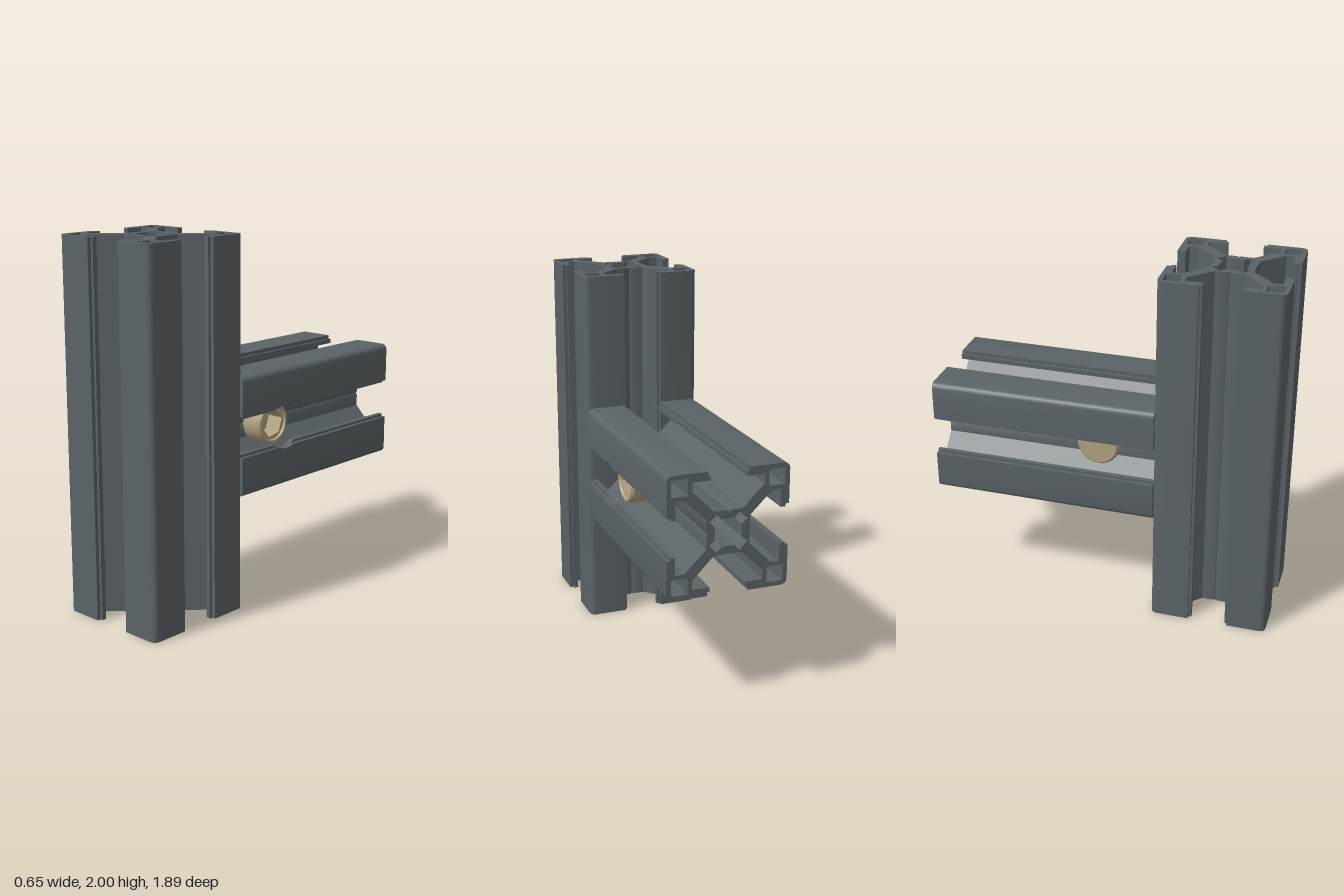
import * as THREE from 'three';
import { toCreasedNormals } from 'three/addons/utils/BufferGeometryUtils.js';

const H = 0.3235, LIP_IN = 0.278, LIP_STEP = 0.303, SLOT = 0.095, STEP = 0.11;
const TRIM = 0.13, BORE = 0.123;
const MID_Y = 0.938, POST_Z = 0.62, BEAM_BACK = -0.944, BEAM_FRONT = 0.296;
const PIN_Z = -0.055;

// Repeats a quarter outline around the four sides
function ring(quarter) {
  const out = [];
  for (let k = 0; k < 4; k++) {
    for (let [x, y] of quarter(k)) {
      for (let i = 0; i < k; i++) [x, y] = [-y, x];
      out.push(new THREE.Vector2(x, y));
    }
  }
  return out;
}

// Half of one slot side, from the groove in the core to the outer corner
function halfSide(trimmed) {
  const lip = trimmed
    ? [[LIP_IN, TRIM], [H, TRIM]]
    : [[LIP_IN, SLOT], [LIP_STEP, SLOT], [LIP_STEP, STEP], [H, STEP]];
  return [[0.108, 0], [0.115, 0.012], [0.115, 0.075], [0.23, 0.19], [LIP_IN, 0.19],
    ...lip, [H, H - 0.03], [H - 0.003, H - 0.017]];
}
const swap = ([x, y]) => [y, x];

// T-slot section; trimSide shortens the lips of the +x slot
function slotSection(trimSide) {
  const shape = new THREE.Shape(ring(k => [
    ...halfSide(trimSide && k === 0),
    [H - 0.009, H - 0.009],
    ...halfSide(trimSide && k === 3).slice(1).reverse().map(swap),
  ]));
  const core = [[0.072, 0], [0.072, 0.034], [0.08, 0.04], [0.101, 0.061]];
  shape.holes.push(new THREE.Path(ring(() => [...core, ...core.slice(1).reverse().map(swap)])));
  for (const sx of [-1, 1]) for (const sy of [-1, 1]) {
    const a = 0.213, b = 0.299;
    shape.holes.push(new THREE.Path(
      [[a, a], [b, a], [b, b], [a, b]].map(([x, y]) => new THREE.Vector2(x * sx, y * sy))));
  }
  return shape;
}

function extrude(shape, depth) {
  return new THREE.ExtrudeGeometry(shape, { depth, bevelEnabled: false, curveSegments: 24 });
}

// Lip strip along the beam with a round cut where the pin is inserted
function lipStrip(v0, x0, x1, s) {
  const c = -PIN_Z, a = Math.asin(v0 / BORE), w = BORE * Math.cos(a);
  const shape = new THREE.Shape();
  shape.moveTo(-BEAM_FRONT, v0 * s);
  shape.lineTo(c - w, v0 * s);
  shape.absarc(c, 0, BORE, s * (Math.PI - a), s * a, s > 0);
  shape.lineTo(-BEAM_BACK, v0 * s);
  shape.lineTo(-BEAM_BACK, TRIM * s);
  shape.lineTo(-BEAM_FRONT, TRIM * s);
  return extrude(shape, x1 - x0).rotateY(Math.PI / 2).translate(x0, MID_Y, 0);
}

export function createModel() {
  const model = new THREE.Group();
  const aluminium = new THREE.MeshStandardMaterial({ color: 0x5b6367 });
  aluminium.name = 'dark grey aluminium';
  const brass = new THREE.MeshStandardMaterial({ color: 0xb3a27f });
  brass.name = 'tan steel';

  const add = (parent, name, geometry, material) => {
    const mesh = new THREE.Mesh(toCreasedNormals(geometry, 0.6), material);
    mesh.name = name;
    parent.add(mesh);
    return mesh;
  };

  // Upright post
  add(model, 'uprightPost',
    extrude(slotSection(false), 2).rotateX(-Math.PI / 2).translate(0, 0, POST_Z), aluminium);

  // Horizontal beam, with bored lips on the +x side
  const beam = new THREE.Group();
  beam.name = 'crossBeam';
  model.add(beam);
  add(beam, 'beamBody', extrude(slotSection(true), BEAM_FRONT - BEAM_BACK)
    .translate(0, MID_Y, BEAM_BACK), aluminium);
  for (const s of [1, -1]) {
    const side = s > 0 ? 'upper' : 'lower';
    add(beam, side + 'InnerLip', lipStrip(SLOT, LIP_IN, LIP_STEP, s), aluminium);
    add(beam, side + 'OuterLip', lipStrip(STEP, LIP_STEP, H, s), aluminium);
  }

  // Connector: cross pin with a hex socket, shank and hammer head
  const connector = new THREE.Group();
  connector.name = 'connector';
  connector.position.set(0, MID_Y, 0);
  model.add(connector);

  const pinProfile = [[0, -0.17], [0.105, -0.17], [0.1185, -0.155], [0.1185, 0.215],
    [0.108, 0.23], [0.097, 0.23], [0.092, 0.22], [0.092, 0.12]]
    .map(([r, y]) => new THREE.Vector2(r, y));
  add(connector, 'crossPin', new THREE.LatheGeometry(pinProfile, 40)
    .rotateZ(-Math.PI / 2).translate(0, 0, PIN_Z), brass);

  const socket = new THREE.Shape().absarc(0, 0, 0.0925, 0, Math.PI * 2);
  const hex = [];
  for (let i = 0; i < 6; i++) {
    const a = i * Math.PI / 3 + 0.2;
    hex.push(new THREE.Vector2(0.08 * Math.cos(a), 0.08 * Math.sin(a)));
  }
  socket.holes.push(new THREE.Path(hex));
  add(connector, 'hexSocket', extrude(socket, 0.1)
    .rotateY(Math.PI / 2).translate(0.12, 0, PIN_Z), brass);
  add(connector, 'socketFloor', new THREE.CircleGeometry(0.0925, 32)
    .rotateY(Math.PI / 2).translate(0.125, 0, PIN_Z), brass);

  add(connector, 'shank', new THREE.CylinderGeometry(0.067, 0.067, 0.39, 32)
    .rotateX(Math.PI / 2).translate(0, 0, 0.15), brass);

  const right = [[0.085, 0.452], [0.155, 0.378], [0.172, 0.35], [0.165, 0.341]];
  const head = new THREE.Shape([...right, ...right.map(([x, z]) => [-x, z]).reverse()]
    .map(([x, z]) => new THREE.Vector2(x, -z)));
  add(connector, 'hammerHead', extrude(head, 0.18)
    .rotateX(-Math.PI / 2).translate(0, -0.09, 0), brass);

  return model;
}
